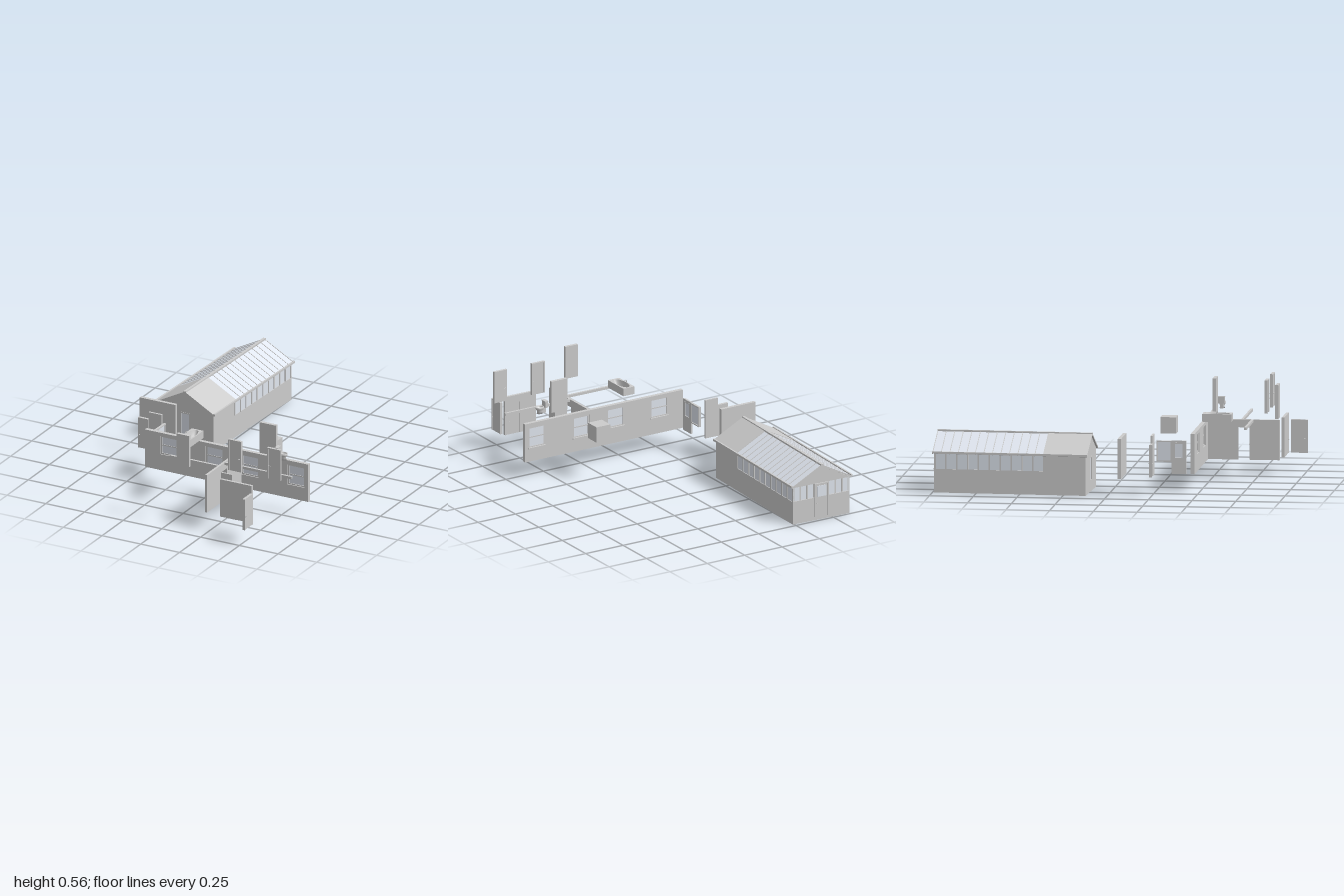
import * as THREE from 'three';

const grey = new THREE.MeshStandardMaterial({ color: 0xcccccc });
const glass = new THREE.MeshStandardMaterial({ color: 0xdfe5ee });

function add(parent, name, geometry, material = grey) {
  const mesh = new THREE.Mesh(geometry, material);
  mesh.name = name;
  parent.add(mesh);
  return mesh;
}

// Box given by its limits on each axis
function box(parent, name, [x0, x1], [y0, y1], [z0, z1], material) {
  const mesh = add(parent, name, new THREE.BoxGeometry(x1 - x0, y1 - y0, z1 - z0), material);
  mesh.position.set((x0 + x1) / 2, (y0 + y1) / 2, (z0 + z1) / 2);
  return mesh;
}

// Upright panel with rectangular holes, extruded from z0 to z1
function panel(parent, name, outline, holes, z0, z1) {
  const shape = new THREE.Shape(outline.map(([x, y]) => new THREE.Vector2(x, y)));
  for (const [x0, x1, y0, y1] of holes) {
    shape.holes.push(new THREE.Path([[x0, y0], [x0, y1], [x1, y1], [x1, y0]].map(([x, y]) => new THREE.Vector2(x, y))));
  }
  const mesh = add(parent, name, new THREE.ExtrudeGeometry(shape, { depth: z1 - z0, bevelEnabled: false }));
  mesh.position.z = z0;
  return mesh;
}
const rect = (x0, x1, y0, y1) => [[x0, y0], [x1, y0], [x1, y1], [x0, y1]];

// Frame with glass, split by a middle rail
function windowUnit(parent, name, x0, x1, y0, y1, z, rail = true) {
  const g = new THREE.Group();
  g.name = name;
  parent.add(g);
  const f = 0.007;
  panel(g, 'windowFrame', rect(x0, x1, y0, y1), [[x0 + f, x1 - f, y0 + f, y1 - f]], z - 0.007, z + 0.007);
  box(g, 'pane', [x0 + f, x1 - f], [y0 + f, y1 - f], [z - 0.002, z + 0.002], glass);
  const m = (y0 + y1) / 2;
  if (rail) box(g, 'middleRail', [x0 + f, x1 - f], [m - 0.003, m + 0.003], [z - 0.005, z + 0.005]);
  return g;
}

// Door leaf along +x from the origin, with a lever on both faces
function door(parent, name, width, height, x, y, z, { turn = 0, framed = false, handleAt = 0.88 } = {}) {
  const g = new THREE.Group();
  g.name = name;
  g.position.set(x, y, z);
  g.rotation.y = turn;
  parent.add(g);
  const f = framed ? 0.007 : 0;
  box(g, 'leaf', [f, width - f], [0, height - f], [-0.005, 0.005]);
  if (framed) {
    panel(g, 'doorFrame', [[0, 0], [f, 0], [f, height - f], [width - f, height - f], [width - f, 0], [width, 0], [width, height], [0, height]], [], -0.008, 0.008);
  }
  const hx = width * handleAt, dir = handleAt > 0.5 ? -1 : 1;
  for (const s of [-1, 1]) {
    box(g, 'handleStem', [hx - 0.002, hx + 0.002], [0.078, 0.082], s > 0 ? [0.005, 0.011] : [-0.011, -0.005]);
    const lever = box(g, 'handleLever', [-0.006, 0.006], [0.0785, 0.0815], [-0.0015, 0.0015]);
    lever.position.x = hx + dir * 0.005;
    lever.position.z = s * 0.011;
  }
  return g;
}

// Gabled building with a solid front and a glazed rear
function makeGlasshouse() {
  const g = new THREE.Group();
  g.name = 'glasshouse';
  const W = 0.185, L = 0.435, split = 0.2, sill = 0.135, eave = 0.23, ridge = 0.325, t = 0.012;
  box(g, 'floor', [-W + t, W - t], [0.03, 0.036], [-L + t, L - t]);
  panel(g, 'frontGable', [[-W, 0], [W, 0], [W, eave], [0, ridge], [-W, eave]], [[-0.035, 0.03, 0.06, 0.2]], L - t, L);
  windowUnit(g, 'frontWindow', -0.035, 0.03, 0.06, 0.2, L - 0.005, false);
  panel(g, 'rearGable', [[-W, eave - 0.01], [W, eave - 0.01], [0, ridge]], [], -L, -L + t);

  // Rear wall with a door and glazing either side
  panel(g, 'rearWall', rect(-W, W, 0, sill), [], -L, -L + t);
  door(g, 'rearDoor', 0.09, 0.2, -0.045, 0.02, -L, { framed: true });
  box(g, 'rearDoorGlass', [-0.03, 0.03], [0.14, 0.205], [-L - 0.007, -L + 0.007], glass);
  for (const s of [-1, 1]) {
    const c = s * 0.113;
    box(g, 'rearGlass', [c - 0.068, c + 0.068], [sill, eave - 0.01], [-L + 0.004, -L + 0.008], glass);
    for (const x of [0.048, 0.092, 0.137, 0.18]) {
      box(g, 'rearPost', [s * x - 0.004, s * x + 0.004], [sill, eave], [-L, -L + t]);
    }
    box(g, 'rearSill', [c - 0.07, c + 0.07], [sill - 0.005, sill + 0.003], [-L - 0.004, -L + t]);

    // Side wall, side glazing and gutter
    const side = s > 0 ? [W - t, W] : [-W, -W + t];
    box(g, 'sideWall', side, [0, sill], [-L, split]);
    box(g, 'solidSideWall', side, [0, eave], [split, L]);
    box(g, 'sideGlass', [s * (W - 0.006) - 0.002, s * (W - 0.006) + 0.002], [sill, eave], [-L, split], glass);
    for (let i = 0; i <= 10; i++) {
      const z = -L + 0.005 + (split + L - 0.01) * i / 10;
      box(g, 'sidePost', side, [sill, eave], [z - 0.004, z + 0.004]);
    }
    box(g, 'gutter', [s * 0.195 - 0.005, s * 0.195 + 0.005], [0.224, 0.236], [-0.445, 0.445]);

    // Roof slope built flat and tilted down from the ridge
    const slope = new THREE.Group();
    slope.name = 'roofSlope';
    slope.position.y = 0.333;
    slope.rotation.z = -s * Math.atan2(0.105, 0.197);
    g.add(slope);
    const span = s > 0 ? [0, 0.222] : [-0.222, 0];
    box(slope, 'solidRoof', span, [-0.008, 0], [split - 0.005, 0.445]);
    box(slope, 'glassRoof', span, [-0.007, -0.003], [-0.44, split - 0.005], glass);
    for (let i = 0; i <= 13; i++) {
      const z = -0.442 + 0.635 * i / 13;
      box(slope, 'glazingBar', span, [-0.009, -0.001], [z - 0.002, z + 0.002]);
    }
    for (const x of [0.07, 0.14]) box(slope, 'purlin', [s * x - 0.002, s * x + 0.002], [-0.012, -0.005], [-0.44, split]);
  }
  box(g, 'ridgeCap', [-0.008, 0.008], [0.324, 0.335], [-0.445, 0.445]);
  g.position.set(-0.4425, 0, -0.55);
  g.rotation.y = -0.034;
  return g;
}

function makeToilet() {
  const g = new THREE.Group();
  g.name = 'toilet';
  box(g, 'cistern', [0, 0.018], [0.032, 0.068], [-0.018, 0.018]);
  box(g, 'cisternLid', [-0.002, 0.02], [0.068, 0.072], [-0.02, 0.02]);
  const profile = [[0, 0], [0.015, 0], [0.012, 0.012], [0.019, 0.028], [0.021, 0.036], [0.016, 0.036], [0.01, 0.022], [0, 0.018]];
  const bowl = add(g, 'bowl', new THREE.LatheGeometry(profile.map(([x, y]) => new THREE.Vector2(x, y)), 20));
  bowl.scale.x = 1.25;
  bowl.position.x = 0.044;
  box(g, 'pedestal', [0.008, 0.04], [0, 0.03], [-0.009, 0.009]);
  const seat = add(g, 'seat', new THREE.TorusGeometry(0.018, 0.003, 8, 24));
  seat.rotation.x = Math.PI / 2;
  seat.scale.x = 1.3;
  seat.position.set(0.044, 0.037, 0);
  return g;
}

function makeBath() {
  const g = new THREE.Group();
  g.name = 'bath';
  const shape = new THREE.Shape(rect(-0.037, 0.037, -0.083, 0.083).map(([x, y]) => new THREE.Vector2(x, y)));
  const hole = new THREE.Path();
  hole.absellipse(0, 0, 0.031, 0.073, 0, Math.PI * 2, true);
  shape.holes.push(hole);
  add(g, 'surround', new THREE.ExtrudeGeometry(shape, { depth: 0.045, bevelEnabled: false, curveSegments: 24 })).rotation.x = -Math.PI / 2;
  const profile = [[0, 0.006], [0.6, 0.006], [0.8, 0.014], [1, 0.045]].map(([x, y]) => new THREE.Vector2(x, y));
  const basin = add(g, 'basin', new THREE.LatheGeometry(profile, 32));
  basin.material = new THREE.MeshStandardMaterial({ color: 0xcccccc, side: THREE.DoubleSide });
  basin.scale.set(0.031, 1, 0.073);
  box(g, 'base', [-0.037, 0.037], [0, 0.004], [-0.083, 0.083]);
  const path = new THREE.CatmullRomCurve3([[-0.034, 0.044, 0], [-0.034, 0.056, 0], [-0.028, 0.059, 0], [-0.022, 0.055, 0]].map(p => new THREE.Vector3(...p)));
  add(g, 'tap', new THREE.TubeGeometry(path, 12, 0.002, 8));
  return g;
}

export function createModel() {
  const model = new THREE.Group();
  model.name = 'buildingParts';
  model.add(makeGlasshouse());

  // Long outer wall with four windows
  const openings = [[-0.3, -0.185, 0.198, 0.31], [-0.007, 0.105, 0.195, 0.31], [0.225, 0.335, 0.182, 0.305], [0.522, 0.63, 0.182, 0.305]];
  panel(model, 'longWall', rect(-0.4, 0.655, 0.1, 0.33), openings, 0.447, 0.47);
  for (const [x0, x1, y0, y1] of openings) {
    windowUnit(model, 'wallWindow', x0, x1, y0, y1, 0.457);
    box(model, 'windowSill', [x0 - 0.003, x1 + 0.003], [y0 - 0.005, y0 + 0.002], [0.439, 0.455]);
  }

  // Partition with a doorway, running along z
  const partition = new THREE.Group();
  partition.name = 'partition';
  partition.position.x = 0.211;
  partition.rotation.y = -Math.PI / 2;
  model.add(partition);
  panel(partition, 'partitionWall', [[0.47, 0.1], [0.642, 0.1], [0.642, 0.285], [0.71, 0.285], [0.71, 0.1], [0.878, 0.1], [0.878, 0.33], [0.47, 0.33]], [], -0.014, 0);
  door(model, 'partitionDoor', 0.07, 0.185, 0.225, 0.1, 0.708);
  box(model, 'rightBeam', [0.225, 0.655], [0.315, 0.33], [0.657, 0.67]);
  box(model, 'leftBeam', [-0.095, 0.211], [0.315, 0.33], [0.715, 0.729]);

  // Front panel with its door, and an open leaf beside it
  panel(model, 'frontPanel', [[0.315, 0.1], [0.425, 0.1], [0.425, 0.285], [0.508, 0.285], [0.508, 0.1], [0.52, 0.1], [0.52, 0.33], [0.315, 0.33]], [], 0.877, 0.892);
  door(model, 'frontPanelDoor', 0.083, 0.185, 0.425, 0.1, 0.885);
  door(model, 'openDoor', 0.095, 0.19, 0.527, 0.1, 0.905, { turn: -Math.PI / 2, framed: true });

  // Raised doors and panels
  box(model, 'raisedPanel', [0.035, 0.116], [0.362, 0.555], [0.875, 0.893]);
  door(model, 'raisedDoorLeft', 0.085, 0.19, 0.315, 0.35, 0.787, { framed: true });
  door(model, 'raisedDoorRight', 0.085, 0.19, 0.567, 0.35, 0.787, { framed: true, handleAt: 0.14 });
  box(model, 'raisedBackPanel', [0.355, 0.46], [0.352, 0.54], [0.476, 0.496]);

  // Fixtures
  const toilet = makeToilet();
  toilet.position.set(0.473, 0.35, 0.512);
  model.add(toilet);
  const bath = makeBath();
  bath.position.set(-0.057, 0.357, 0.558);
  model.add(bath);
  box(model, 'storageBox', [0.245, 0.337], [0.237, 0.33], [0.193, 0.283]);

  // Detached entrance walls, door and glazed leaf
  box(model, 'entranceWall', [-0.645, -0.415], [0.1, 0.33], [0.062, 0.082]);
  box(model, 'entranceScreen', [-0.5, -0.415], [0.1, 0.33], [0.232, 0.244]);
  door(model, 'entranceDoor', 0.067, 0.186, -0.567, 0.1, 0.239, { framed: true, handleAt: 0.12 });
  const entrance = new THREE.Group();
  entrance.name = 'glazedEntrance';
  entrance.position.x = -0.39;
  entrance.rotation.y = -Math.PI / 2;
  model.add(entrance);
  panel(entrance, 'glazedLeaf', rect(0.338, 0.422, 0.1, 0.29), [[0.35, 0.408, 0.185, 0.278]], -0.006, 0.006);
  windowUnit(entrance, 'leafWindow', 0.35, 0.408, 0.185, 0.278, 0, false);
  windowUnit(entrance, 'sideWindow', 0.252, 0.338, 0.168, 0.288, 0, false);
  return model;
}
